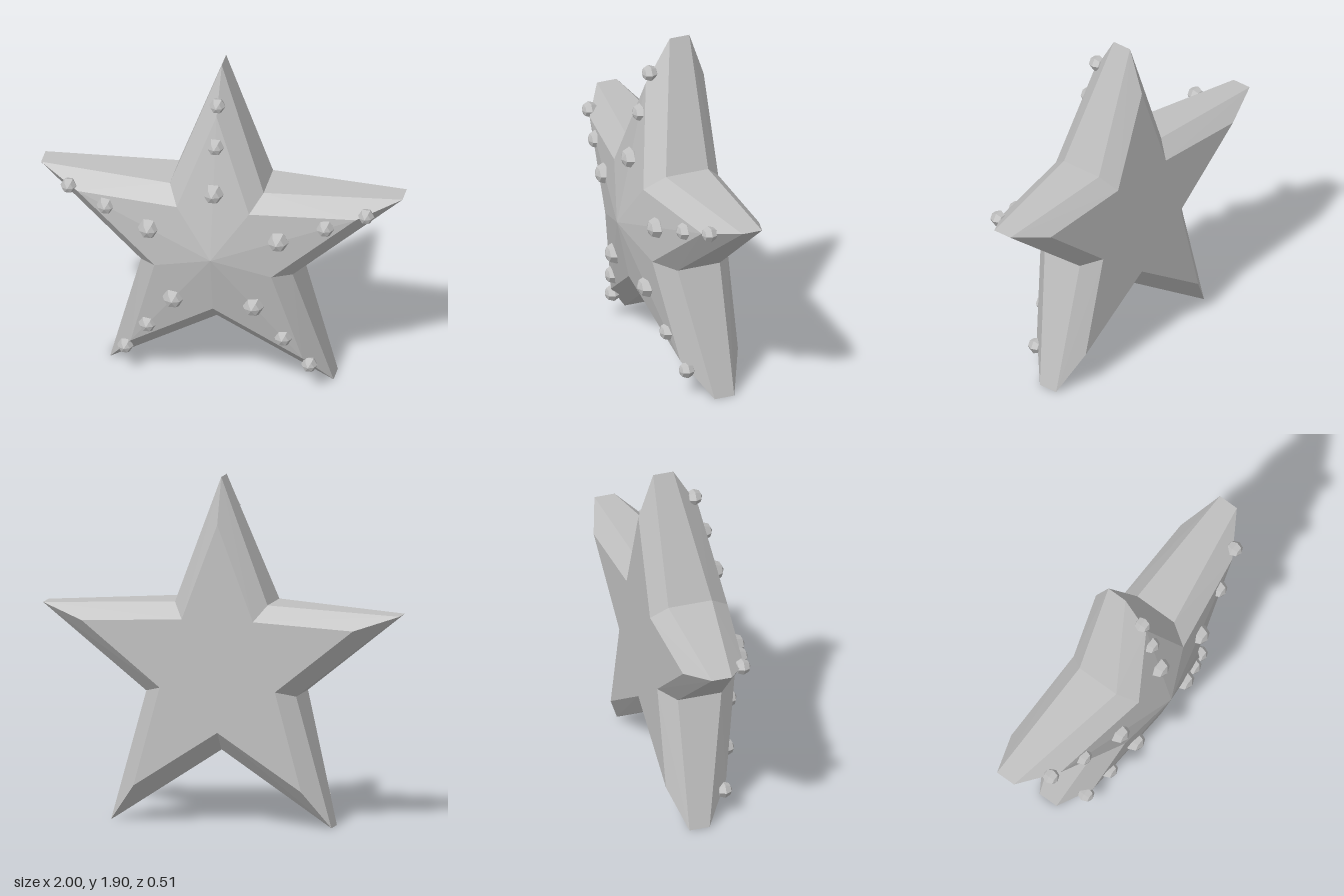
import * as THREE from 'three';

const CENTER_Y = 0.8507;

// One ring of ten points, alternating arm tip and notch
function starRing({ tip, notch, tipZ, notchZ }) {
  return Array.from({ length: 10 }, (_, i) => {
    const a = Math.PI / 2 + (i * Math.PI) / 5;
    const r = i % 2 ? notch : tip;
    return [r * Math.cos(a), r * Math.sin(a), i % 2 ? notchZ : tipZ];
  });
}

// Star body lofted through rings from back to front, closed by two centre points
function starGeometry(rings, backZ, frontZ) {
  const pos = [];
  const tri = (a, b, c) => pos.push(...a, ...b, ...c);
  const back = rings[0];
  const front = rings[rings.length - 1];
  for (let i = 0; i < 10; i++) {
    const j = (i + 1) % 10;
    tri(back[j], back[i], [0, 0, backZ]);
    for (let k = 0; k < rings.length - 1; k++) {
      const a = rings[k], b = rings[k + 1];
      // Split every quad from its notch corner so both sides of an arm mirror
      if (i % 2) {
        tri(a[i], a[j], b[j]);
        tri(a[i], b[j], b[i]);
      } else {
        tri(a[j], b[j], b[i]);
        tri(a[j], b[i], a[i]);
      }
    }
    tri(front[i], front[j], [0, 0, frontZ]);
  }
  const g = new THREE.BufferGeometry();
  g.setAttribute('position', new THREE.Float32BufferAttribute(pos, 3));
  g.computeVertexNormals();
  return g;
}

export function createModel() {
  const model = new THREE.Group();
  model.name = 'starfish';
  const grey = new THREE.MeshStandardMaterial({ color: 0xc0c0c0, flatShading: true });
  grey.name = 'grey';

  // Bevelled star body
  const rings = [
    { tip: 0.8, notch: 0.34, tipZ: -0.257, notchZ: -0.257 },
    { tip: 1.0515, notch: 0.4416, tipZ: -0.172, notchZ: -0.172 },
    { tip: 1.0515, notch: 0.4416, tipZ: -0.057, notchZ: 0.077 },
    { tip: 0.81, notch: 0.34, tipZ: 0.085, notchZ: 0.185 },
  ].map(starRing);
  const body = new THREE.Mesh(starGeometry(rings, -0.257, 0.255), grey);
  body.name = 'body';
  body.position.y = CENTER_Y;
  model.add(body);

  // Three faceted bumps along each arm, shrinking towards the tip
  const bumps = new THREE.Group();
  bumps.name = 'bumps';
  const sizes = [
    { along: 0.376, z: 0.17, radius: 0.06 },
    { along: 0.638, z: 0.113, radius: 0.051 },
    { along: 0.866, z: 0.062, radius: 0.045 },
  ];
  for (const { along, z, radius } of sizes) {
    const geometry = new THREE.SphereGeometry(radius, 6, 4).rotateX(Math.PI / 2);
    for (let arm = 0; arm < 5; arm++) {
      const a = Math.PI / 2 + (arm * 2 * Math.PI) / 5;
      const bump = new THREE.Mesh(geometry, grey);
      bump.name = 'bump';
      bump.position.set(along * Math.cos(a), CENTER_Y + along * Math.sin(a), z);
      bumps.add(bump);
    }
  }
  model.add(bumps);
  return model;
}
